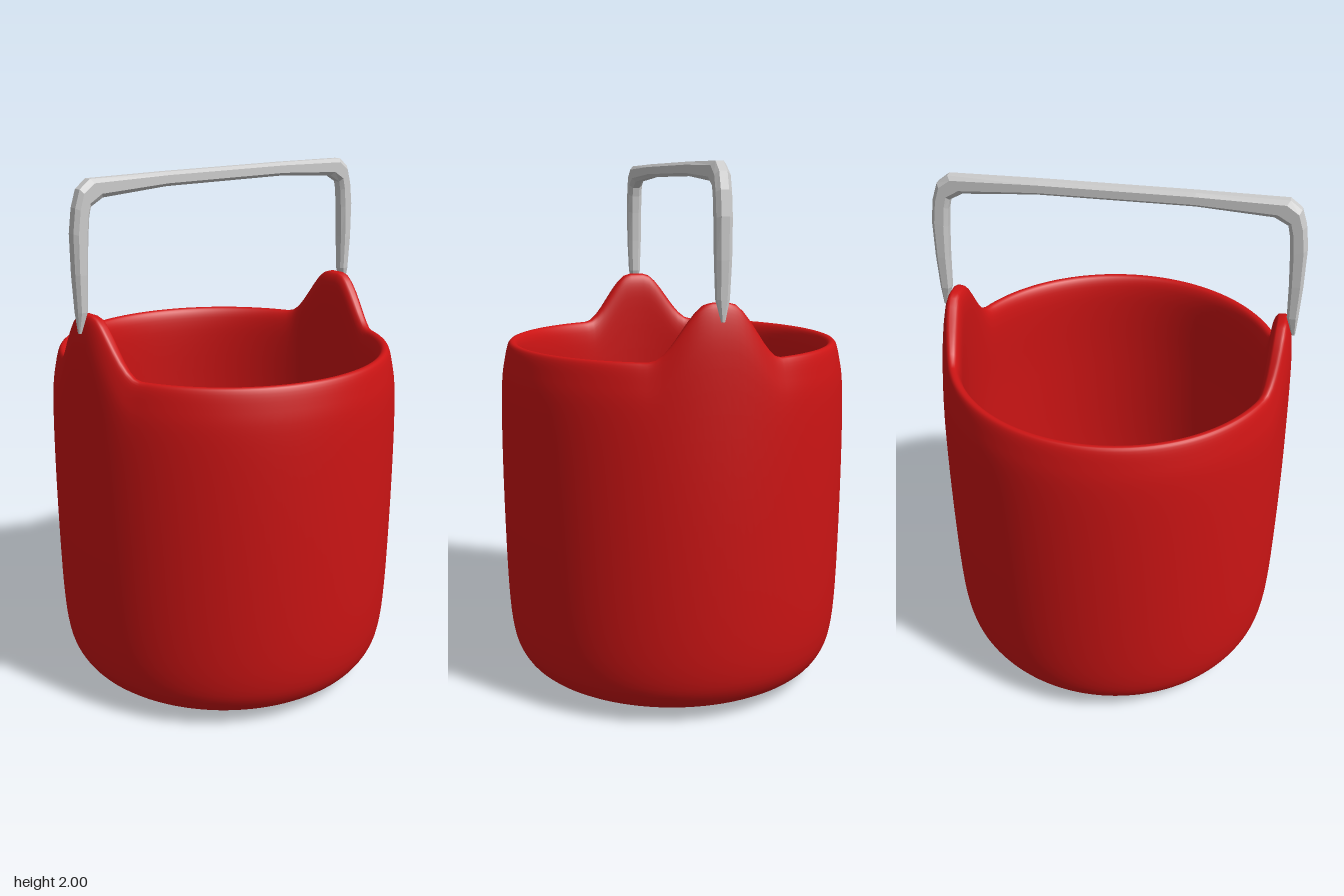
import * as THREE from 'three';
import { mergeVertices } from 'three/addons/utils/BufferGeometryUtils.js';

const v2 = (p) => new THREE.Vector2(p[0], p[1]);

// Double-walled bowl, turned from one profile; the rim is lifted into two tabs
function bucketGeometry() {
  const profile = new THREE.SplineCurve([
    [0, 0.005], [0.3, 0.018], [0.48, 0.034], [0.565, 0.056], [0.615, 0.105], [0.645, 0.19],
    [0.66, 0.36], [0.667, 0.7], [0.667, 1.0], [0.661, 1.18], [0.648, 1.27], [0.634, 1.325],
    [0.618, 1.337], [0.6, 1.325], [0.588, 1.28], [0.585, 1.18], [0.592, 0.9], [0.59, 0.45],
    [0.56, 0.25], [0.47, 0.14], [0.3, 0.1], [0, 0.085],
  ].map(v2));
  const points = profile.getPoints(84);
  points[0].x = points[points.length - 1].x = 0;
  let geo = new THREE.LatheGeometry(points, 144);
  const pos = geo.attributes.position;
  for (let i = 0; i < pos.count; i++) {
    const x = pos.getX(i), y = pos.getY(i), z = pos.getZ(i);
    const r = Math.hypot(x, z);
    if (y < 1.0 || r < 0.5) continue;
    const tab = 1 - THREE.MathUtils.smoothstep(Math.abs(z / r) * 0.62, 0.03, 0.235);
    const lift = THREE.MathUtils.smoothstep(y, 1.0, 1.28);
    pos.setY(i, y + 0.2 * tab * lift);
    // inner face of each tab is slightly thicker
    if (r < 0.61) pos.setX(i, x - Math.sign(x) * 0.01 * tab * lift);
  }
  geo.deleteAttribute('uv');
  geo.deleteAttribute('normal');
  geo = mergeVertices(geo, 1e-4);
  geo.computeVertexNormals();
  return geo;
}

// Bevelled bar: each station gives an outer and an inner edge point and a half depth
function handleGeometry() {
  const half = [
    [0.662, 1.475, 0.65, 1.475, 0.006],
    [0.667, 1.55, 0.626, 1.55, 0.022],
    [0.673, 1.68, 0.622, 1.68, 0.027],
    [0.674, 1.82, 0.615, 1.8, 0.028],
    [0.662, 1.905, 0.608, 1.87, 0.028],
    [0.642, 1.965, 0.6, 1.905, 0.028],
    [0.6, 1.997, 0.55, 1.932, 0.028],
    [0.28, 2.0, 0.28, 1.95, 0.028],
  ];
  const stations = [...half, ...half.slice().reverse().map(([a, b, c, d, w]) => [-a, b, -c, d, w])];
  // section: t runs from the outer edge to the inner edge, s is across the depth
  const section = [[0, 0.5], [0.22, 1], [0.78, 1], [1, 0.5], [1, -0.5], [0.78, -1], [0.22, -1], [0, -0.5]];
  const n = section.length, verts = [], index = [];
  for (const [ox, oy, ix, iy, w] of stations) {
    for (const [t, s] of section) verts.push(ox + (ix - ox) * t, oy + (iy - oy) * t, s * w);
  }
  for (let i = 0; i < stations.length - 1; i++) {
    for (let j = 0; j < n; j++) {
      const a = i * n + j, b = i * n + (j + 1) % n;
      index.push(a, a + n, b, b, a + n, b + n);
    }
  }
  // end caps
  const last = (stations.length - 1) * n;
  for (let j = 1; j < n - 1; j++) index.push(0, j, j + 1, last, last + j + 1, last + j);
  const geo = new THREE.BufferGeometry();
  geo.setAttribute('position', new THREE.Float32BufferAttribute(verts, 3));
  geo.setIndex(index);
  geo.computeVertexNormals();
  return geo;
}

export function createModel() {
  const group = new THREE.Group();
  group.name = 'bucket';

  const body = new THREE.Mesh(bucketGeometry(), new THREE.MeshStandardMaterial({ color: 0xcc1414 }));
  body.name = 'bucketBody';

  const handle = new THREE.Mesh(
    handleGeometry(),
    new THREE.MeshStandardMaterial({ color: 0xcccccc, flatShading: true, side: THREE.DoubleSide }),
  );
  handle.name = 'handle';

  group.add(body, handle);
  return group;
}
